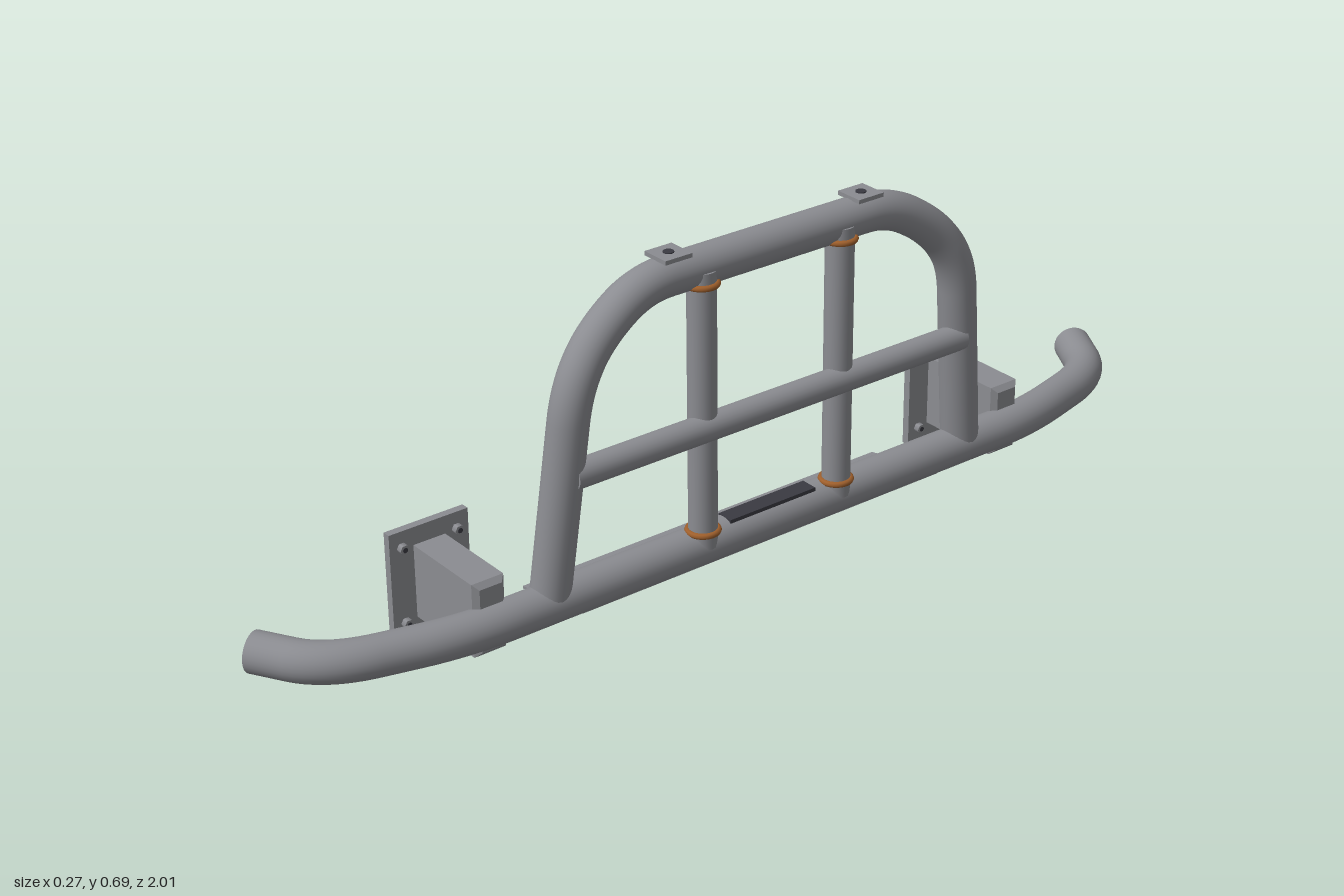
import * as THREE from 'three';

const steel = new THREE.MeshStandardMaterial({ color: 0x8b8c91 });
steel.name = 'steel grey';
const copper = new THREE.MeshStandardMaterial({ color: 0xa0602c });
copper.name = 'copper weld';
const dark = new THREE.MeshStandardMaterial({ color: 0x3a3a42 });
dark.name = 'dark grey';

const V = (x, y, z) => new THREE.Vector3(x, y, z);

export function createModel() {
  const model = new THREE.Group();

  function add(name, geometry, material, x = 0, y = 0, z = 0, parent = model) {
    const mesh = new THREE.Mesh(geometry, material);
    mesh.name = name;
    mesh.position.set(x, y, z);
    parent.add(mesh);
    return mesh;
  }

  // Straight runs joined by rounded bends
  function bentPath(points, cut) {
    const path = new THREE.CurvePath();
    let from = points[0];
    for (let i = 1; i < points.length - 1; i++) {
      const p = points[i];
      const reach = (q) => p.clone().add(q.clone().sub(p).setLength(Math.min(cut, p.distanceTo(q) * 0.48)));
      const a = reach(points[i - 1]), b = reach(points[i + 1]);
      path.add(new THREE.LineCurve3(from, a));
      path.add(new THREE.QuadraticBezierCurve3(a, p, b));
      from = b;
    }
    path.add(new THREE.LineCurve3(from, points[points.length - 1]));
    return path;
  }

  // Mirrors a half path from the -z end across z = 0
  const mirrored = (half) => [...half, ...half.slice().reverse().map((p) => V(p.x, p.y, -p.z))];

  function pipe(name, points, radius, cut) {
    const path = bentPath(points, cut);
    add(name, new THREE.TubeGeometry(path, 140, radius, 28), steel);
    for (const t of [0, 1]) {
      const p = path.getPointAt(t);
      const cap = add(name + 'Cap', new THREE.CircleGeometry(radius, 28), steel, p.x, p.y, p.z);
      cap.lookAt(p.clone().addScaledVector(path.getTangentAt(t), t ? 1 : -1));
    }
  }

  // Lower bumper tube with swept back ends
  pipe('bumperTube', mirrored([V(-0.1, 0.098, -0.97), V(0.02, 0.098, -0.9), V(0.082, 0.098, -0.66)]), 0.038, 0.09);

  // Upper hoop
  pipe('hoop', mirrored([V(0.079, 0.1, -0.485), V(0.099, 0.5, -0.44), V(0.09, 0.58, -0.385), V(0.08, 0.645, -0.28)]), 0.037, 0.06);

  // Cross bar
  const crossBar = add('crossBar', new THREE.CylinderGeometry(0.026, 0.026, 0.9, 24), steel, 0.106, 0.344, 0);
  crossBar.rotation.x = Math.PI / 2;

  // Uprights, weld rings and top mounting tabs
  const ring = new THREE.TorusGeometry(0.028, 0.006, 8, 28).rotateX(Math.PI / 2);
  for (const s of [-1, 1]) {
    add('upright', new THREE.CylinderGeometry(0.027, 0.027, 0.54, 24), steel, 0.094, 0.375, s * 0.157);
    for (const y of [0.135, 0.619]) add('weldRing', ring, copper, 0.094, y, s * 0.157);
    add('topTab', new THREE.BoxGeometry(0.058, 0.008, 0.058), steel, 0.08, 0.684, s * 0.217);
    add('tabBolt', new THREE.CylinderGeometry(0.01, 0.01, 0.012, 16), dark, 0.08, 0.684, s * 0.217);
  }

  // Dark tread strip on the bumper
  add('treadStrip', new THREE.BoxGeometry(0.035, 0.008, 0.2), dark, 0.085, 0.133, 0);

  // Sloping skid plate
  const skid = add('skidPlate', new THREE.BoxGeometry(0.19, 0.005, 0.84), steel, -0.006, 0.04, 0);
  skid.rotation.z = 0.18;

  // Chamfered bracket arm, extruded along x
  const arm = new THREE.Shape();
  const w = 0.023, h = 0.062;
  arm.moveTo(-w, -h).lineTo(w, -h).lineTo(w, h).lineTo(-w, h).closePath();
  const armGeometry = new THREE.ExtrudeGeometry(arm, {
    depth: 0.197, bevelEnabled: true, bevelThickness: 0.01, bevelSize: 0.01, bevelSegments: 1,
  }).rotateY(Math.PI / 2);
  const boltGeometry = new THREE.CylinderGeometry(0.01, 0.01, 0.012, 6).rotateZ(Math.PI / 2);
  const socketGeometry = new THREE.CylinderGeometry(0.005, 0.005, 0.014, 12).rotateZ(Math.PI / 2);

  // Chassis brackets with bolted flanges
  for (const s of [-1, 1]) {
    const bracket = new THREE.Group();
    bracket.name = 'bracket';
    bracket.position.set(0, 0.111, s * 0.606);
    add('arm', armGeometry, steel, -0.127, 0, 0, bracket);
    add('flange', new THREE.BoxGeometry(0.016, 0.214, 0.164), steel, -0.117, 0, 0, bracket);
    for (const y of [-0.075, 0.075]) for (const z of [-0.057, 0.057]) {
      add('flangeBolt', boltGeometry, steel, -0.103, y, z, bracket);
      add('boltSocket', socketGeometry, dark, -0.103, y, z, bracket);
    }
    model.add(bracket);
  }

  return model;
}
